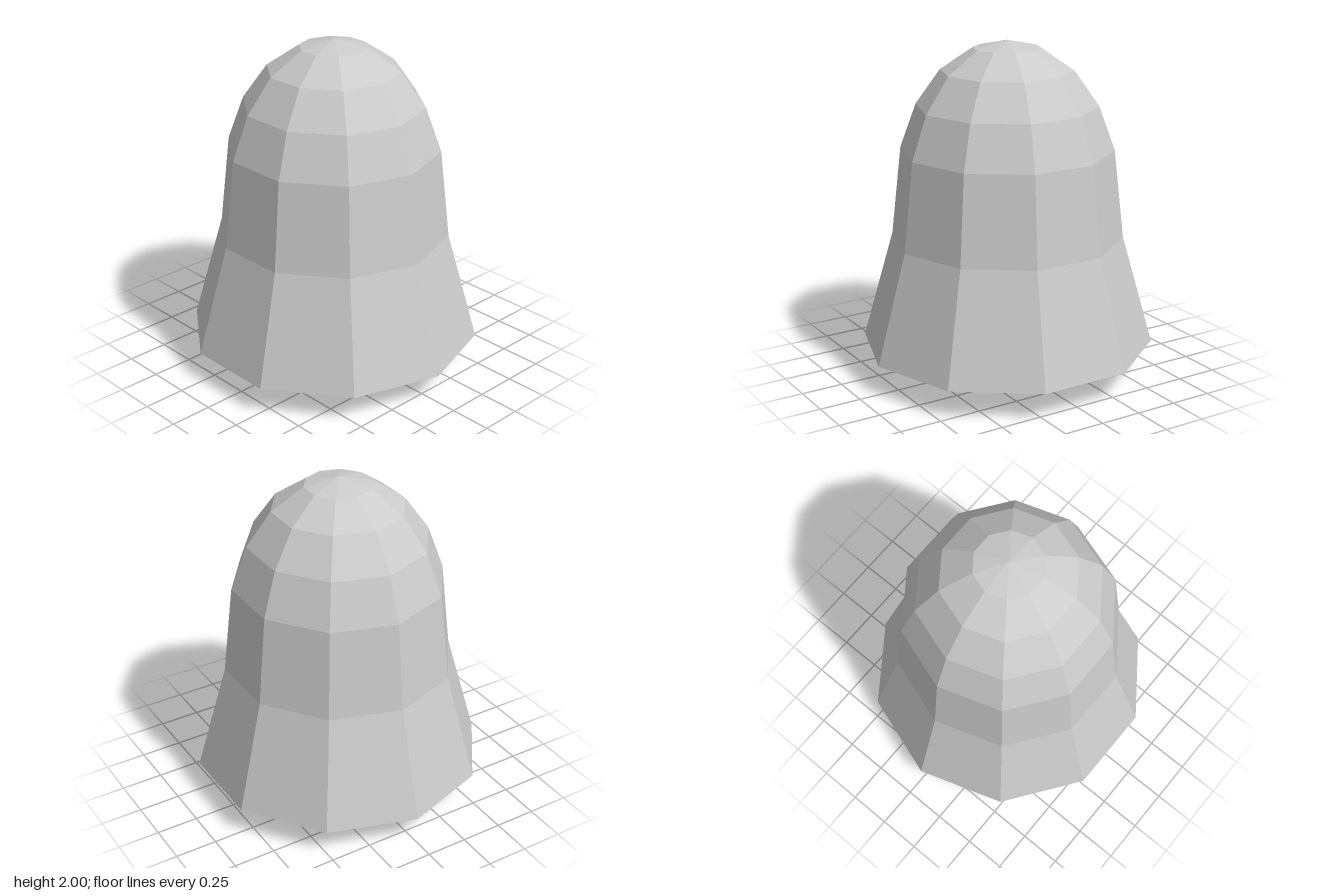
import * as THREE from 'three';

const SIDES = 10;

export function createModel() {
  const group = new THREE.Group();
  const material = new THREE.MeshStandardMaterial({ color: 0xcccccc, flatShading: true });
  const shellMaterial = material.clone();
  shellMaterial.side = THREE.DoubleSide;

  const add = (name, geometry, y = 0, mat = material) => {
    const mesh = new THREE.Mesh(geometry, mat);
    mesh.name = name;
    mesh.position.y = y;
    group.add(mesh);
  };

  // Thin open shell: flared skirt, waist and faceted dome
  const profile = [
    [0.875, 0.175], [0.69, 0.83], [0.63, 1.36], [0.535, 1.62],
    [0.39, 1.825], [0.2, 1.955], [0, 2],
  ].map(([r, y]) => new THREE.Vector2(r, y));
  add('bellShell', new THREE.LatheGeometry(profile, SIDES), 0, shellMaterial);

  // Clapper rod hanging from the dome
  const rodBottom = 0.12, rodTop = 1.92;
  add('clapperRod', new THREE.CylinderGeometry(0.085, 0.085, rodTop - rodBottom, SIDES),
    (rodBottom + rodTop) / 2);

  // Clapper ball, turned so its corners line up with the shell
  add('clapperBall', new THREE.SphereGeometry(0.115, SIDES, 10).rotateY(Math.PI / 2), 0.115);

  return group;
}
